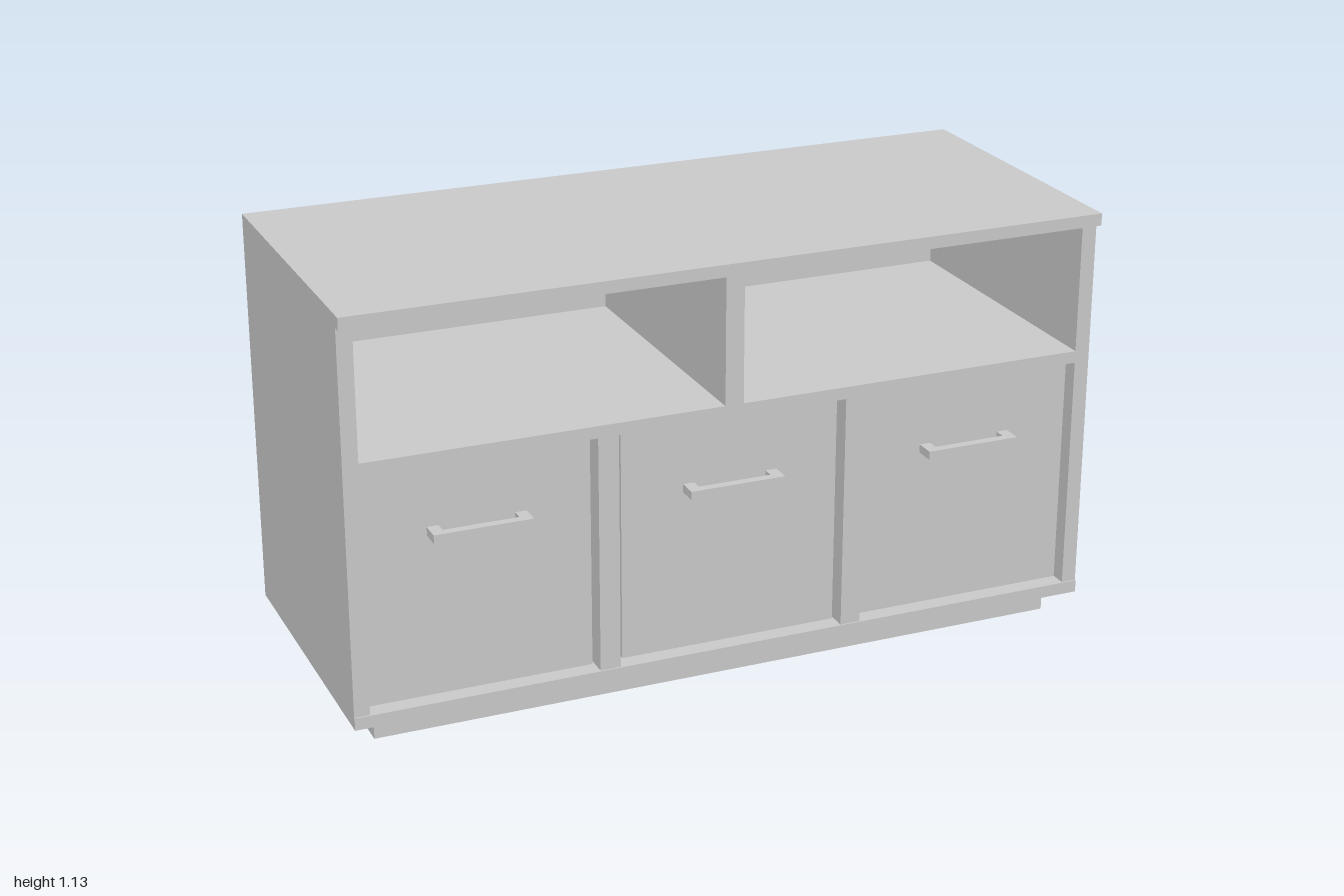
import * as THREE from 'three';

const material = new THREE.MeshStandardMaterial({ color: 0xcccccc, flatShading: true });

// Box given by its extents along each axis
function board(parent, name, [x0, x1], [y0, y1], [z0, z1]) {
  const mesh = new THREE.Mesh(new THREE.BoxGeometry(x1 - x0, y1 - y0, z1 - z0), material);
  mesh.position.set((x0 + x1) / 2, (y0 + y1) / 2, (z0 + z1) / 2);
  mesh.name = name;
  parent.add(mesh);
  return mesh;
}

export function createModel() {
  const cabinet = new THREE.Group();
  cabinet.name = 'sideboard';
  const depth = [-0.395, 0.4];

  // Carcass
  board(cabinet, 'top', [-1, 1], [1.098, 1.13], [-0.42, 0.423]);
  board(cabinet, 'bottom', [-1, 1], [0.067, 0.1], [-0.42, 0.404]);
  board(cabinet, 'backPanel', [-1, 1], [0.1, 1.098], [-0.42, -0.395]);
  board(cabinet, 'rightSide', [-1, -0.96], [0.1, 1.098], depth);
  board(cabinet, 'leftSide', [0.96, 1], [0.1, 1.098], depth);
  board(cabinet, 'shelf', [-0.96, 0.96], [0.725, 0.757], depth);
  board(cabinet, 'upperDivider', [-0.027, 0.022], [0.757, 1.098], depth);
  board(cabinet, 'rightDivider', [-0.362, -0.308], [0.1, 0.725], depth);
  board(cabinet, 'leftDivider', [0.303, 0.357], [0.1, 0.725], depth);

  // Hollow plinth made of thin boards
  const t = 0.004, px = 0.935, zb = -0.357, zf = 0.341, py = [0, 0.067];
  board(cabinet, 'plinthFront', [-px, px], py, [zf - t, zf]);
  board(cabinet, 'plinthBack', [-px, px], py, [zb, zb + t]);
  board(cabinet, 'plinthRight', [-px, -px + t], py, [zb + t, zf - t]);
  board(cabinet, 'plinthLeft', [px - t, px], py, [zb + t, zf - t]);

  // Recessed doors, each with a bar handle on two posts
  for (const [x0, x1] of [[-0.955, -0.37], [-0.29, 0.295], [0.368, 0.955]]) {
    const door = new THREE.Group();
    door.name = 'door';
    board(door, 'doorPanel', [x0, x1], [0.104, 0.716], [0.345, 0.365]);
    const c = (x0 + x1) / 2, h = 0.127, y = [0.53, 0.552];
    board(door, 'handleBar', [c - h, c + h], y, [0.395, 0.418]);
    for (const s of [-1, 1]) {
      const p = c + s * (h - 0.015);
      board(door, 'handlePost', [p - 0.015, p + 0.015], y, [0.365, 0.395]);
    }
    cabinet.add(door);
  }
  return cabinet;
}
